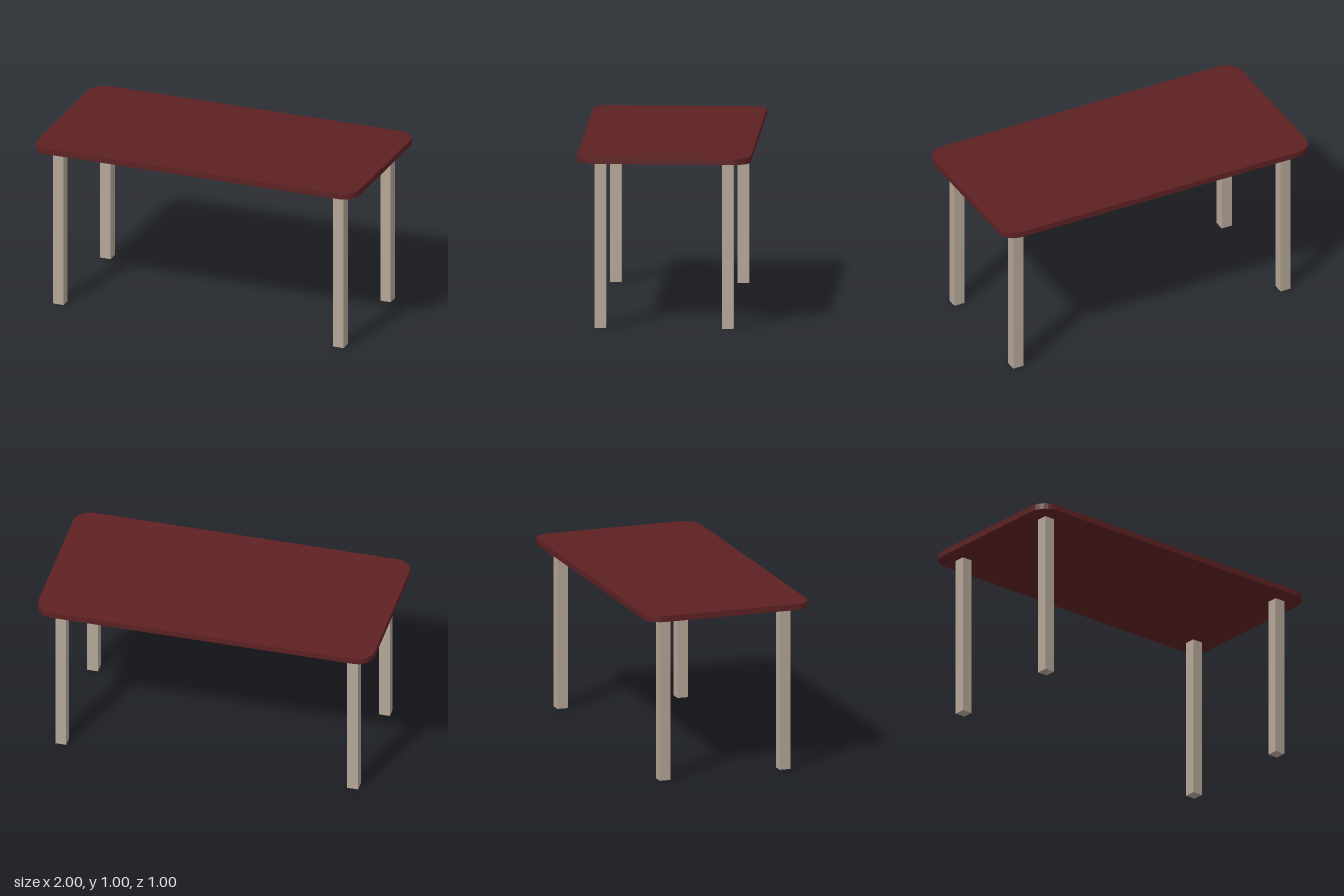
import * as THREE from 'three';

const WIDTH = 2, DEPTH = 1, RADIUS = 0.1;
const TOP_Y = 1.005, THICKNESS = 0.035;
const LEG = 0.065, LEG_X = 0.9 - LEG / 2, LEG_Z = 0.4 - LEG / 2;

// Rectangle with rounded corners, centred on the origin
function roundedRectangle(w, d, r) {
  const x = w / 2 - r, y = d / 2 - r;
  const shape = new THREE.Shape();
  shape.absarc(x, y, r, 0, Math.PI / 2);
  shape.absarc(-x, y, r, Math.PI / 2, Math.PI);
  shape.absarc(-x, -y, r, Math.PI, Math.PI * 1.5);
  shape.absarc(x, -y, r, Math.PI * 1.5, Math.PI * 2);
  shape.closePath();
  return shape;
}

export function createModel() {
  const table = new THREE.Group();
  table.name = 'table';

  const darkRedWood = new THREE.MeshStandardMaterial({ color: 0x5e2123 });
  darkRedWood.name = 'dark red wood';
  const paleWood = new THREE.MeshStandardMaterial({ color: 0xb5a698 });
  paleWood.name = 'pale wood';

  // Tabletop slab, three flat facets at each corner
  const slab = new THREE.ExtrudeGeometry(roundedRectangle(WIDTH, DEPTH, RADIUS), {
    depth: THICKNESS, bevelEnabled: false, curveSegments: 3,
  });
  slab.rotateX(-Math.PI / 2);
  const tabletop = new THREE.Mesh(slab, darkRedWood);
  tabletop.name = 'tabletop';
  tabletop.position.y = TOP_Y - THICKNESS;
  table.add(tabletop);

  // Four square legs reaching the underside of the slab
  const legHeight = TOP_Y - THICKNESS;
  const legGeometry = new THREE.BoxGeometry(LEG, legHeight, LEG);
  for (const [sideName, sx] of [['Left', 1], ['Right', -1]]) {
    for (const [endName, sz] of [['front', 1], ['back', -1]]) {
      const leg = new THREE.Mesh(legGeometry, paleWood);
      leg.name = `${endName}${sideName}Leg`;
      leg.position.set(sx * LEG_X, legHeight / 2, sz * LEG_Z);
      table.add(leg);
    }
  }
  return table;
}
